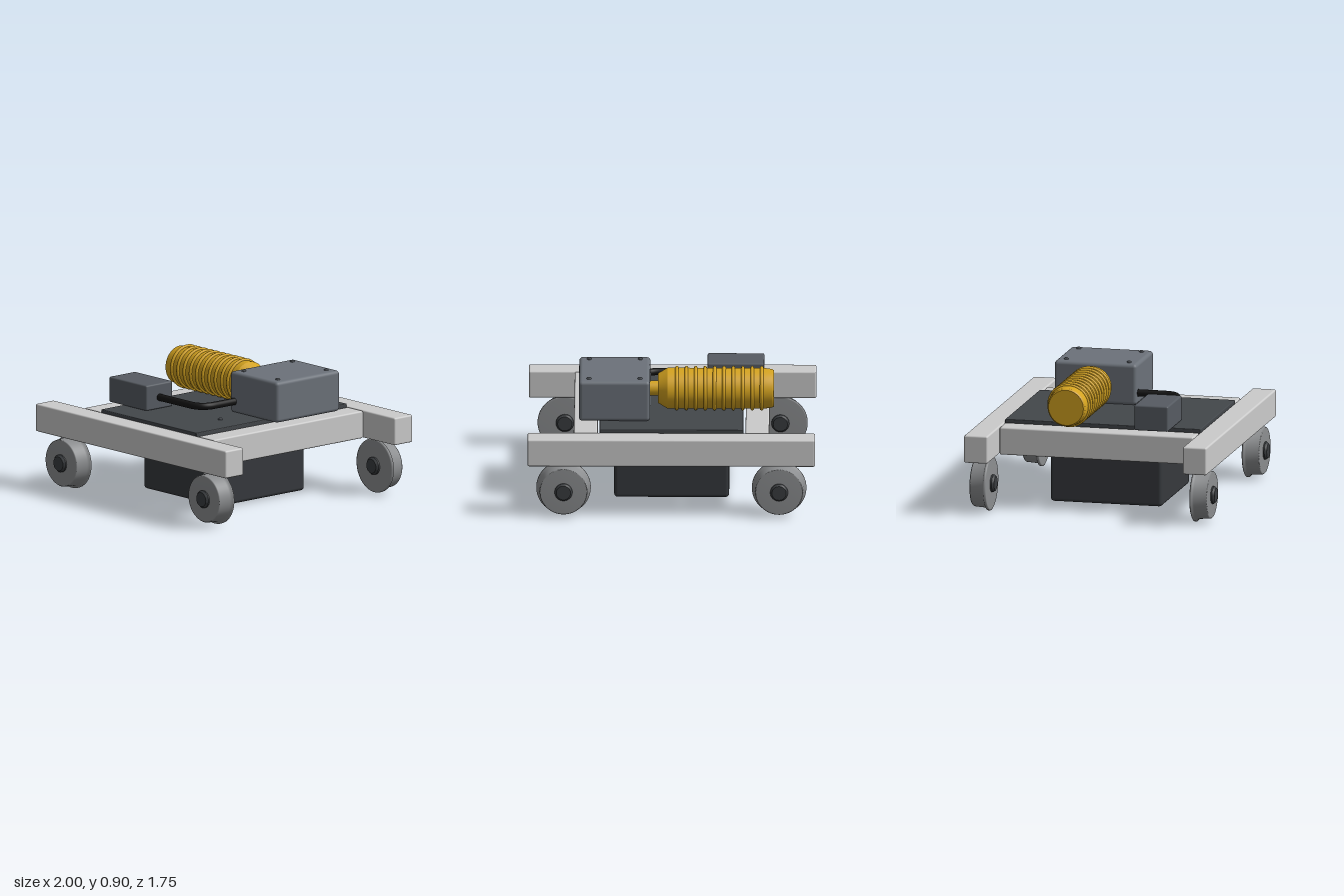
import * as THREE from 'three';
import { RoundedBoxGeometry } from 'three/addons/geometries/RoundedBoxGeometry.js';
import { toCreasedNormals } from 'three/addons/utils/BufferGeometryUtils.js';

const mat = (color) => new THREE.MeshStandardMaterial({ color });
const frameMat = mat(0xcccccc);
const plateMat = mat(0x43474b);
const batteryMat = mat(0x36393d);
const gearboxMat = mat(0x6c727a);
const controlMat = mat(0x565b62);
const wheelMat = mat(0x8c8e90);
const hubMat = mat(0x3a3d40);
const brassMat = mat(0xd4a320);
const cableMat = mat(0x151515);

export function createModel() {
  const model = new THREE.Group();

  const add = (name, geometry, material, parent = model) => {
    const mesh = new THREE.Mesh(geometry, material);
    mesh.name = name;
    parent.add(mesh);
    return mesh;
  };

  // Rounded box given by its extents on each axis
  const box = (name, [x0, x1], [y0, y1], [z0, z1], r, material) => {
    const mesh = add(name, new RoundedBoxGeometry(x1 - x0, y1 - y0, z1 - z0, 3, r), material);
    mesh.position.set((x0 + x1) / 2, (y0 + y1) / 2, (z0 + z1) / 2);
    return mesh;
  };

  const lathe = (points, segments = 48, crease = 0.5) =>
    toCreasedNormals(new THREE.LatheGeometry(points.map(([r, y]) => new THREE.Vector2(r, y)), segments), crease);

  // Frame: two long rails and two cross beams
  for (const s of [1, -1]) {
    const span = (a, b) => (s > 0 ? [a, b] : [-b, -a]);
    box('sideRail', [-1, 1], [0.38, 0.575], span(0.7, 0.87), 0.012, frameMat);
    box('crossBeam', span(0.515, 0.68), [0.38, 0.575], [-0.695, 0.695], 0.012, frameMat);
  }

  // Deck plate and the battery case slung below it
  box('deckPlate', [-0.5, 0.5], [0.555, 0.595], [-0.7, 0.7], 0.006, plateMat);
  box('batteryCase', [-0.4, 0.4], [0.005, 0.37], [-0.4, 0.4], 0.025, batteryMat);

  // Flanged wheels; the lathe axis points outwards, the flange faces inwards
  const wheelGeometry = new THREE.LatheGeometry([
    [0.001, -0.06], [0.18, -0.06], [0.19, -0.055], [0.19, -0.042], [0.172, -0.032],
    [0.166, 0.055], [0.16, 0.062], [0.001, 0.062],
  ].map(([r, y]) => new THREE.Vector2(r, y)), 48);
  const hubGeometry = lathe([
    [0, -0.087], [0.05, -0.087], [0.062, -0.072], [0.062, 0.072], [0.05, 0.087], [0, 0.087],
  ], 32);
  for (const x of [-0.75, 0.75]) {
    for (const s of [1, -1]) {
      const wheel = new THREE.Group();
      wheel.name = 'wheel';
      add('rim', wheelGeometry, wheelMat, wheel);
      add('hub', hubGeometry, hubMat, wheel);
      wheel.position.set(x, 0.19, s * 0.79);
      wheel.rotation.x = s * Math.PI / 2;
      model.add(wheel);
    }
  }

  // Motor: body, cooling ribs and shaft along x
  const motor = new THREE.Group();
  motor.name = 'motor';
  motor.position.set(0, 0.745, -0.21);
  model.add(motor);
  const body = add('motorBody', lathe([
    [0, -0.71], [0.125, -0.71], [0.134, -0.7], [0.142, -0.64], [0.142, 0.03], [0.104, 0.095], [0, 0.095],
  ]), brassMat, motor);
  body.rotation.z = -Math.PI / 2;
  const ribGeometry = new THREE.TorusGeometry(0.142, 0.013, 10, 48);
  for (let i = 0; i < 10; i++) {
    const rib = add('coolingRib', ribGeometry, brassMat, motor);
    rib.rotation.y = Math.PI / 2;
    rib.position.x = -0.625 + i * 0.0655;
  }
  const shaft = add('motorShaft', new THREE.CylinderGeometry(0.053, 0.053, 0.12, 32), brassMat, motor);
  shaft.rotation.z = Math.PI / 2;
  shaft.position.x = 0.125;

  // Gearbox and control box
  box('gearbox', [0.15, 0.645], [0.595, 0.885], [-0.51, 0.08], 0.025, gearboxMat);
  box('controlBox', [-0.64, -0.245], [0.595, 0.775], [0.26, 0.505], 0.012, controlMat);

  // Domed bolts on the gearbox lid, plus one on the deck
  const boltGeometry = lathe([[0.016, -0.01], [0.016, 0.005], [0.011, 0.011], [0, 0.013]], 20);
  const bolts = [[0.295, 0.597, 0.295]];
  for (const x of [0.22, 0.575]) for (const z of [-0.44, 0.01]) bolts.push([x, 0.885, z]);
  for (const p of bolts) add('bolt', boltGeometry, gearboxMat).position.set(...p);

  // Cable from the control box, bending back into the gearbox
  const v = (x, z) => new THREE.Vector3(x, 0.677, z);
  const path = new THREE.CurvePath();
  path.add(new THREE.LineCurve3(v(-0.26, 0.382), v(0.08, 0.382)));
  path.add(new THREE.QuadraticBezierCurve3(v(0.08, 0.382), v(0.198, 0.382), v(0.198, 0.264)));
  path.add(new THREE.LineCurve3(v(0.198, 0.264), v(0.198, 0.06)));
  add('cable', new THREE.TubeGeometry(path, 60, 0.025, 16), cableMat);

  return model;
}
